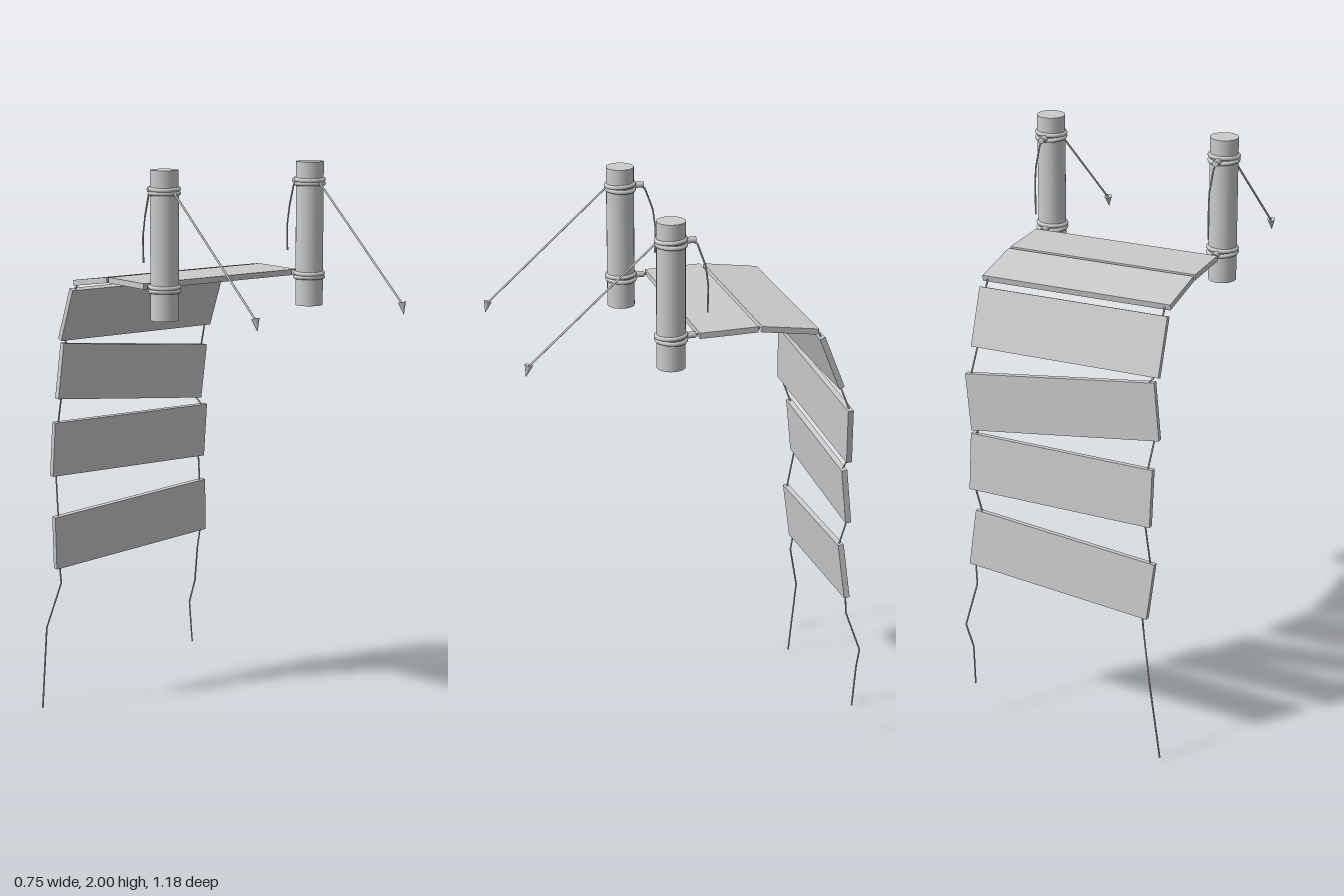
import * as THREE from 'three';

const mat = new THREE.MeshStandardMaterial({ color: 0xcccccc });
const V = (x, y, z) => new THREE.Vector3(x, y, z);

function add(parent, name, geo) {
  const m = new THREE.Mesh(geo, mat);
  m.name = name;
  parent.add(m);
  return m;
}

// straight round bar between two points
function bar(parent, name, a, b, r, sides = 6) {
  const d = b.clone().sub(a);
  const m = add(parent, name, new THREE.CylinderGeometry(r, r, d.length(), sides));
  m.position.copy(a).addScaledVector(d, 0.5);
  m.quaternion.setFromUnitVectors(V(0, 1, 0), d.normalize());
  return m;
}

// rope made of straight runs
function rope(parent, name, pts, r = 0.003) {
  const g = new THREE.Group();
  g.name = name;
  for (let i = 1; i < pts.length; i++) bar(g, name + 'Run', pts[i - 1], pts[i], r);
  parent.add(g);
}

// two slightly tilted rope loops with a knot behind the post
function lashing(parent, y) {
  const g = new THREE.Group();
  g.name = 'lashing';
  [-1, 1].forEach((s) => {
    const t = add(g, 'ropeLoop', new THREE.TorusGeometry(0.048, 0.0075, 8, 28));
    t.rotation.set(Math.PI / 2 + s * 0.04, s * 0.03, 0);
    t.position.y = s * 0.0075;
  });
  bar(g, 'knot', V(0, 0, -0.045), V(0, 0, -0.083), 0.011, 10);
  g.position.y = y;
  parent.add(g);
}

export function createModel() {
  const root = new THREE.Group();
  root.name = 'brokenBridge';
  const postZ = 0.097;

  // posts with lashings, guy ropes, pegs and loose rope ends
  [-0.314, 0.319].forEach((x) => {
    const post = new THREE.Group();
    post.name = 'postAssembly';
    post.position.set(x, 0, postZ);
    add(post, 'post', new THREE.CylinderGeometry(0.048, 0.048, 0.5, 24)).position.y = 1.75;
    lashing(post, 1.93);
    lashing(post, 1.605);
    rope(post, 'guyRope', [V(0, 1.93, 0.05), V(0, 1.548, 0.482)], 0.0035);
    const peg = add(post, 'peg', new THREE.ConeGeometry(0.014, 0.042, 10));
    peg.position.set(0, 1.537, 0.481);
    peg.rotation.x = Math.PI - 0.25;
    rope(post, 'looseEnd', [V(0, 1.928, -0.07), V(0.002, 1.915, -0.088), V(0.006, 1.84, -0.115),
      V(0.004, 1.77, -0.125), V(0.004, 1.68, -0.123)]);
    root.add(post);
  });

  // planks: centre y, centre z, rise to the right, z shift to the right, slope down (dy, dz)
  const planks = [
    [1.606, -0.096, 0, 0, 0.002, -0.2],
    [1.592, -0.307, 0, 0, -0.029, -0.2],
    [1.46, -0.458, 0, 0, -0.187, -0.074],
    [1.219, -0.516, -0.07, -0.028, -0.2, -0.008],
    [0.963, -0.536, 0, 0.026, -0.2, -0.02],
    [0.648, -0.535, 0.06, 0.024, -0.2, -0.022],
  ];
  const sides = [[V(-0.314, 1.605, 0.03)], [V(0.319, 1.605, 0.03)]];
  planks.forEach(([y, z, rise, shift, dy, dz]) => {
    const m = add(root, 'plank', new THREE.BoxGeometry(0.67, 0.2, 0.02));
    const right = V(0.67, rise, shift).normalize();
    const out = right.clone().cross(V(0, -dy, -dz)).normalize();
    const up = out.clone().cross(right);
    m.quaternion.setFromRotationMatrix(new THREE.Matrix4().makeBasis(right, up, out));
    m.position.set(0.003, y, z);
    m.updateMatrix();
    // side ropes thread through both plank ends
    [-0.316, 0.316].forEach((x, i) => {
      sides[i].push(V(x, 0.1, 0).applyMatrix4(m.matrix), V(x, -0.1, 0).applyMatrix4(m.matrix));
    });
  });

  // frayed rope tails below the last plank
  sides[0].push(V(-0.303, 0.465, -0.548), V(-0.342, 0.295, -0.588), V(-0.375, 0, -0.573));
  sides[1].push(V(0.32, 0.505, -0.542), V(0.344, 0.365, -0.588), V(0.317, 0.285, -0.588), V(0.32, 0.13, -0.575));
  rope(root, 'rightSideRope', sides[0]);
  rope(root, 'leftSideRope', sides[1]);
  return root;
}
